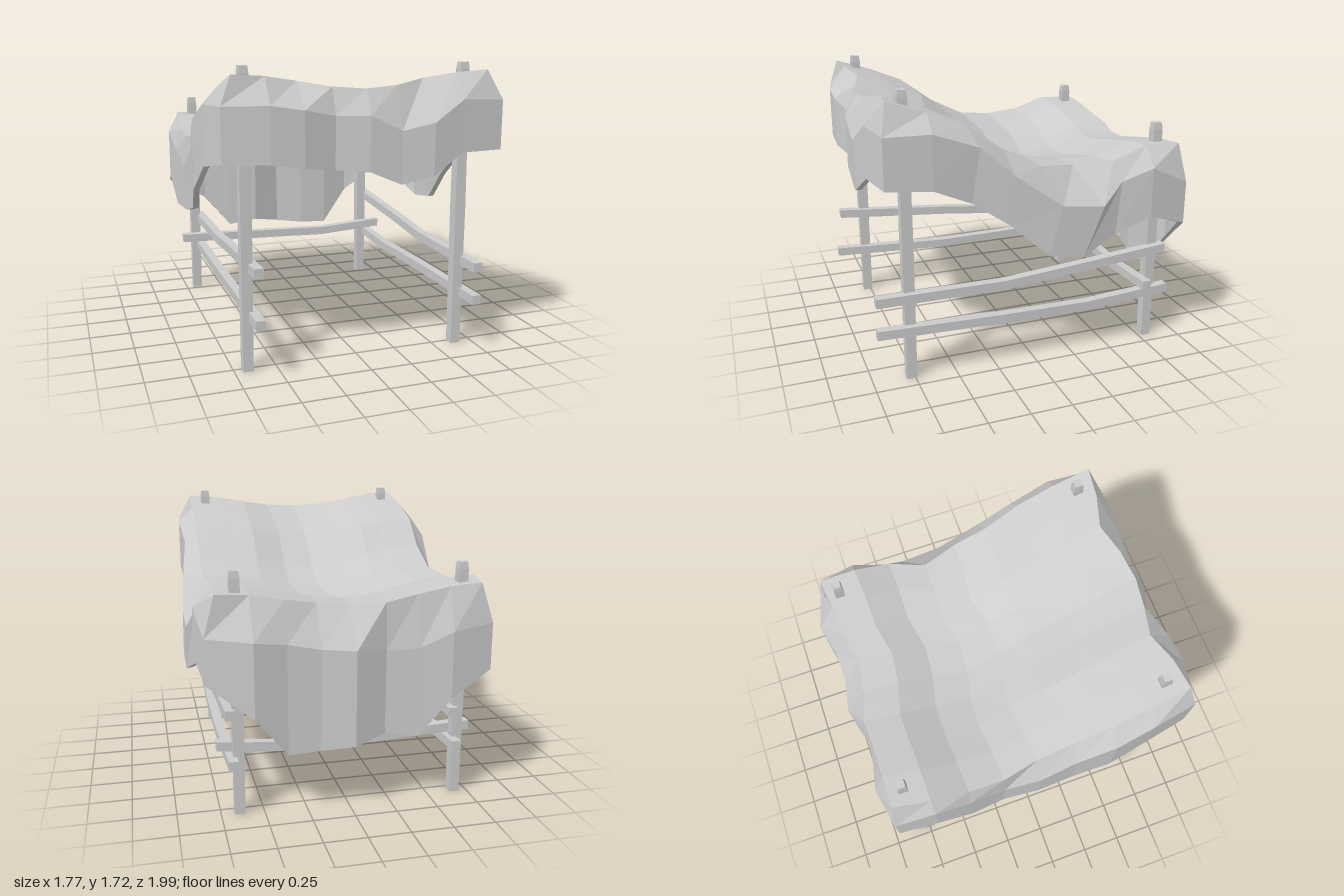
import * as THREE from 'three';

const material = new THREE.MeshStandardMaterial({ color: 0xcccccc, flatShading: true });
const N = 8;          // cloth cells per side
const CLOTH = 0.035;  // cloth thickness

// Square timber through points [x, y, z, scale], listed in the growing direction of its axis
function beam(name, axis, width, points) {
  const n = points.length - 1;
  const geo = new THREE.BoxGeometry(width, width, 1, 1, 1, n);
  const pos = geo.attributes.position;
  for (let i = 0; i < pos.count; i++) {
    const [px, py, pz, s = 1] = points[Math.round((pos.getZ(i) + 0.5) * n)];
    const a = pos.getX(i) * s, b = pos.getY(i) * s;
    if (axis === 'x') pos.setXYZ(i, px, py + a, pz + b);
    else if (axis === 'y') pos.setXYZ(i, px + b, py, pz + a);
    else pos.setXYZ(i, px + a, py + b, pz);
  }
  geo.computeVertexNormals();
  const mesh = new THREE.Mesh(geo, material);
  mesh.name = name;
  return mesh;
}

// Top of the cloth: heights along the side edges (front to back), sag and wavy border
const edgeY = [1.68, 1.61, 1.52, 1.36, 1.25, 1.22, 1.24, 1.315, 1.31];
const sag = [0.09, 0.09, 0.09, 0.1, 0.1, 0.11, 0.12, 0.11, 0.1];
const rightX = [0.74, 0.74, 0.74, 0.74, 0.75, 0.69, 0.77, 0.76, 0.76];
const leftX = [0.76, 0.78, 0.79, 0.77, 0.77, 0.81, 0.81, 0.8, 0.76];
const frontZ = [0.88, 0.86, 0.81, 0.86, 0.89, 0.87, 0.81, 0.86, 0.88];
const backZ = [0.89, 0.89, 0.89, 0.9, 0.85, 0.82, 0.86, 0.87, 0.89];

function topPoint(i, j) {
  const s = i / N, t = j / N, u = 2 * s - 1;
  const x = THREE.MathUtils.lerp(-leftX[j], rightX[j], s);
  const z = THREE.MathUtils.lerp(frontZ[i], -backZ[i], t);
  const dip = sag[j] * (0.5 + 0.5 * Math.cos(Math.PI * u));
  return new THREE.Vector3(x, edgeY[j] - dip, z);
}

// Hanging sides, each listed from its first corner: outward reach, fold height, hem height
const sides = [
  { // front, -x to +x
    out: [0.92, 0.965, 0.965, 0.92, 0.965, 0.965, 0.99, 0.96],
    fold: [1.52, 1.52, 1.49, 1.45, 1.45, 1.36, 1.4, 1.52],
    hem: [1.22, 1.21, 1.18, 1.155, 1.14, 1.06, 1.1, 1.22],
  },
  { // +x side, front to back
    out: [0.82, 0.84, 0.82, 0.85, 0.88, 0.88, 0.835, 0.86],
    fold: [1.51, 1.51, 1.41, 1.24, 1.04, 1.01, 1.13, 1.2],
    hem: [1.22, 1.2, 1.1, 0.95, 0.75, 0.715, 0.81, 0.9],
    slide: [0, 0, -0.05, -0.02, -0.08, -0.12, -0.03, 0], // fold drifts towards the back
  },
  { // back, +x to -x
    out: [0.92, 0.995, 0.95, 0.95, 0.99, 0.92, 0.94, 0.97],
    fold: [1.08, 1.06, 1.03, 0.99, 0.98, 0.95, 0.96, 1.05],
    hem: [0.82, 0.63, 0.39, 0.4, 0.42, 0.46, 0.43, 0.65],
  },
  { // -x side, back to front
    out: [0.82, 0.86, 0.85, 0.83, 0.86, 0.86, 0.89, 0.87],
    fold: [1.08, 1.2, 1.1, 1.02, 1.08, 1.22, 1.4, 1.51],
    hem: [0.8, 0.89, 0.73, 0.73, 0.78, 0.84, 1.0, 1.17],
  },
];

function buildCloth() {
  const points = [], quads = [];
  const at = (i, j) => j * (N + 1) + i;
  for (let j = 0; j <= N; j++) for (let i = 0; i <= N; i++) points.push(topPoint(i, j));
  for (let j = 0; j < N; j++) for (let i = 0; i < N; i++)
    quads.push([at(i, j), at(i + 1, j), at(i + 1, j + 1), at(i, j + 1)]);

  // Border of the top, then a fold ring and a hem ring below it
  const border = [];
  for (let k = 0; k < N; k++) {
    border[k] = at(k, 0);
    border[N + k] = at(N, k);
    border[2 * N + k] = at(N - k, N);
    border[3 * N + k] = at(0, N - k);
  }
  const ring = key => border.map((b, k) => {
    const side = Math.floor(k / N), m = k % N, { out, slide, [key]: y } = sides[side];
    const p = points[b].clone();
    if (m === 0) { p.x = Math.sign(p.x) * 0.825; p.z = Math.sign(p.z) * 0.92; }
    else if (side % 2 === 0) p.z = Math.sign(p.z) * out[m];
    else p.x = Math.sign(p.x) * out[m];
    if (slide && key === 'fold') p.z += slide[m];
    p.y = y[m];
    return points.push(p) - 1;
  });
  const fold = ring('fold'), hem = ring('hem');
  const total = border.length;
  for (const [upper, lower] of [[border, fold], [fold, hem]])
    for (let k = 0; k < total; k++) {
      const n = (k + 1) % total;
      quads.push([lower[k], lower[n], upper[n], upper[k]]);
    }

  // Inner skin, offset along the averaged normals
  const triangles = list => list.flatMap(([a, b, c, d]) => [a, b, c, a, c, d]);
  const outer = new THREE.BufferGeometry().setFromPoints(points);
  outer.setIndex(triangles(quads));
  outer.computeVertexNormals();
  const count = points.length;
  const inner = points.map((p, i) =>
    p.clone().addScaledVector(new THREE.Vector3().fromBufferAttribute(outer.attributes.normal, i), -CLOTH));
  const all = [...quads, ...quads.map(([a, b, c, d]) => [d + count, c + count, b + count, a + count])];
  // Hem edge joining both skins
  for (let k = 0; k < total; k++) {
    const a = hem[k], b = hem[(k + 1) % total];
    all.push([a + count, b + count, b, a]);
  }
  const geo = new THREE.BufferGeometry().setFromPoints([...points, ...inner]);
  geo.setIndex(triangles(all));
  geo.computeVertexNormals();
  const mesh = new THREE.Mesh(geo, material);
  mesh.name = 'clothCanopy';
  return mesh;
}

export function createModel() {
  const group = new THREE.Group();
  group.name = 'canopyShelter';
  group.add(buildCloth());

  // Corner posts with slightly tapered tips
  for (const [name, x, z, top] of [
    ['frontRightPost', -0.672, 0.77, 1.72], ['frontLeftPost', 0.642, 0.77, 1.72],
    ['backRightPost', -0.672, -0.8, 1.42], ['backLeftPost', 0.642, -0.8, 1.42],
  ]) {
    group.add(beam(name, 'y', 0.06, [
      [x, 0, z], [x, top * 0.5, z, 1.1], [x, top - 0.04, z, 0.95], [x, top, z, 0.8],
    ]));
  }

  // Side rails, the upper pair sloping opposite ways
  const w = 0.056;
  group.add(
    beam('lowerRightRail', 'z', w, [[-0.64, 0.335, -0.91], [-0.63, 0.31, -0.3], [-0.625, 0.305, 0.2], [-0.64, 0.335, 0.97]]),
    beam('lowerLeftRail', 'z', w, [[0.68, 0.335, -0.91], [0.69, 0.305, -0.35], [0.695, 0.315, 0.2], [0.68, 0.33, 0.97]]),
    beam('upperRightRail', 'z', w, [[-0.63, 0.53, -0.87], [-0.62, 0.53, -0.15], [-0.625, 0.565, 0.2], [-0.64, 0.62, 0.94]]),
    beam('upperLeftRail', 'z', w, [[0.69, 0.62, -0.87], [0.695, 0.56, -0.15], [0.69, 0.53, 0.2], [0.68, 0.53, 0.97]]),
    // Cross rail between the back posts
    beam('backRail', 'x', w, [[-0.775, 0.4, -0.735], [-0.2, 0.38, -0.75], [0.3, 0.365, -0.75], [0.76, 0.4, -0.735]]),
  );
  return group;
}
